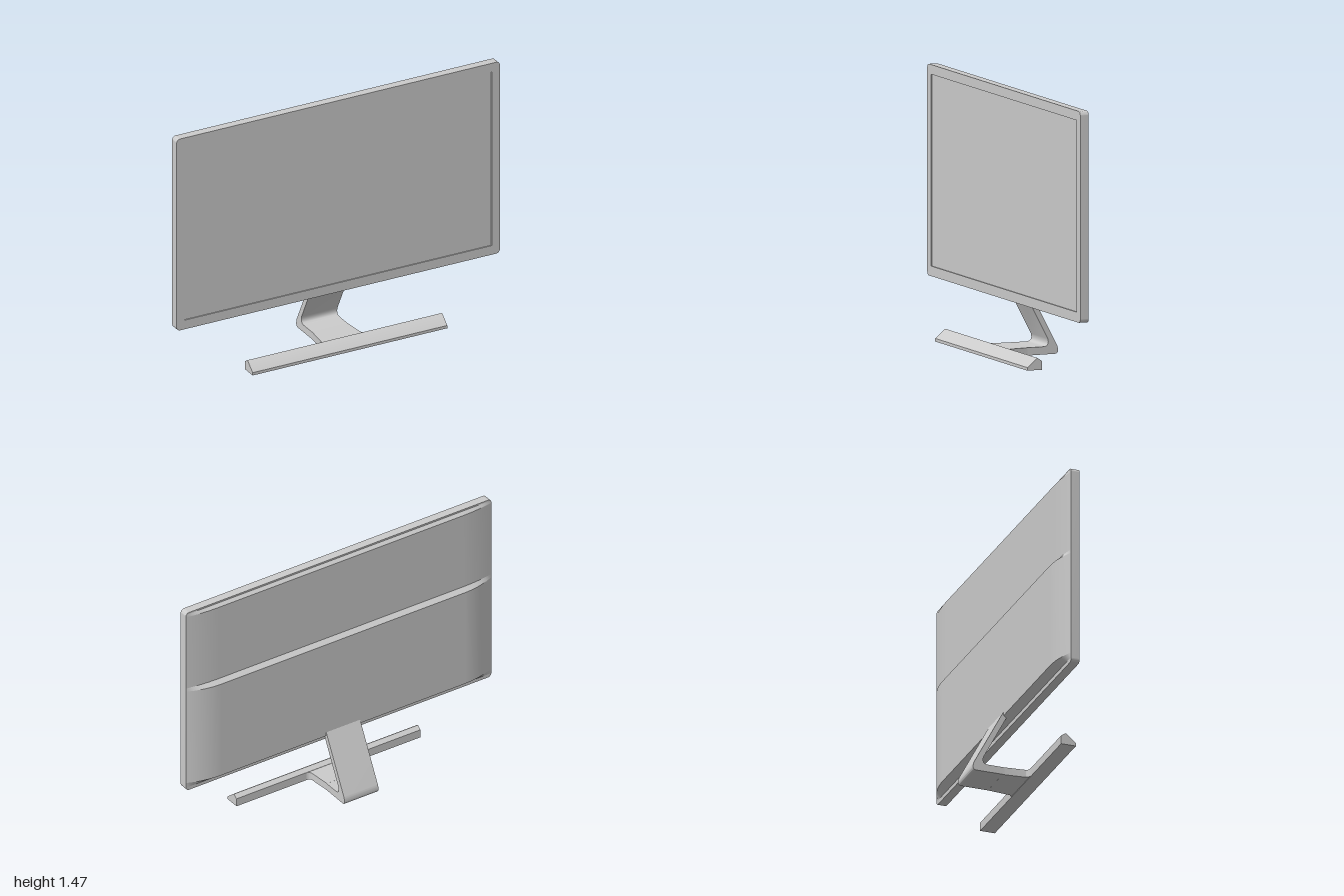
import * as THREE from 'three';
import { toCreasedNormals, mergeGeometries } from 'three/addons/utils/BufferGeometryUtils.js';

const material = new THREE.MeshStandardMaterial({ color: 0xcccccc });

function addPart(group, name, geometry) {
  const mesh = new THREE.Mesh(geometry, material);
  mesh.name = name;
  group.add(mesh);
  return mesh;
}

function roundedRect(x0, x1, y0, y1, r) {
  const s = new THREE.Shape();
  s.absarc(x1 - r, y0 + r, r, -Math.PI / 2, 0);
  s.absarc(x1 - r, y1 - r, r, 0, Math.PI / 2);
  s.absarc(x0 + r, y1 - r, r, Math.PI / 2, Math.PI);
  s.absarc(x0 + r, y0 + r, r, Math.PI, Math.PI * 1.5);
  s.closePath();
  return s;
}

function extrude(shape, depth) {
  return new THREE.ExtrudeGeometry(shape, { depth, bevelEnabled: false, curveSegments: 8 });
}

// Extrudes a (z, y) side profile symmetrically across x
function extrudeAcross(shape, width) {
  const g = extrude(shape, width).translate(0, 0, -width / 2).rotateY(-Math.PI / 2);
  return toCreasedNormals(g, 0.6);
}

// One band of the back shell between two [y, depth] profile points; ends taper in depth
function shellBand([yA, dA], [yB, dB], steps = 10) {
  const xs = [];
  for (let i = 0; i <= steps; i++) xs.push(-1 + 0.2 * i / steps);
  for (let i = steps; i >= 0; i--) xs.push(1 - 0.2 * i / steps);
  const positions = [], index = [];
  xs.forEach((x, i) => {
    const t = Math.max(0, (Math.abs(x) - 0.8) / 0.2);
    const s = 1 - t * t;
    positions.push(x * 0.997, yA, 0.018 - s * dA, x * 0.997, yB, 0.018 - s * dB);
    if (i) {
      const a = 2 * (i - 1);
      index.push(a, a + 2, a + 1, a + 1, a + 2, a + 3);
    }
  });
  const g = new THREE.BufferGeometry();
  g.setAttribute('position', new THREE.Float32BufferAttribute(positions, 3));
  g.setIndex(index);
  g.computeVertexNormals();
  return g;
}

export function createModel() {
  const model = new THREE.Group();
  model.name = 'monitor';

  // Bezel frame around a slightly recessed screen
  const frame = roundedRect(-1, 1, 0.305, 1.466, 0.022);
  frame.holes.push(new THREE.Path([
    [-0.95, 0.36], [-0.95, 1.413], [0.95, 1.413], [0.95, 0.36],
  ].map(([x, y]) => new THREE.Vector2(x, y))));
  addPart(model, 'bezel', toCreasedNormals(extrude(frame, 0.05).translate(0, 0, 0.02), 0.6));
  addPart(model, 'screen', new THREE.BoxGeometry(1.9, 1.053, 0.044)).position.set(0, 0.8865, 0.042);

  // Back cover: shallow upper section, deeper lower section
  const profile = [[1.458, 0], [1.442, 0.018], [0.976, 0.018], [0.955, 0.045], [0.357, 0.043], [0.327, 0]];
  const bands = profile.slice(1).map((p, i) => shellBand(profile[i], p));
  addPart(model, 'backCover', mergeGeometries(bands));

  // Bent stand: flat foot, rounded heel and a leaning neck
  const stand = new THREE.Shape();
  stand.moveTo(0.125, 0.004);
  stand.lineTo(-0.185, 0.004);
  stand.quadraticCurveTo(-0.203, 0.004, -0.203, 0.022);
  stand.quadraticCurveTo(-0.203, 0.042, -0.195, 0.056);
  stand.lineTo(-0.024, 0.382);
  stand.lineTo(0.005, 0.375);
  stand.lineTo(-0.006, 0.35);
  stand.lineTo(-0.142, 0.09);
  stand.quadraticCurveTo(-0.155, 0.048, -0.115, 0.047);
  stand.lineTo(0.125, 0.047);
  stand.closePath();
  addPart(model, 'stand', extrudeAcross(stand, 0.222));

  // Flared joint where the foot meets the front bar
  const flare = new THREE.Shape();
  flare.moveTo(-0.11, -0.03);
  flare.lineTo(0.11, -0.03);
  flare.lineTo(0.122, 0.095);
  flare.quadraticCurveTo(0.124, 0.113, 0.145, 0.118);
  flare.lineTo(0.145, 0.125);
  flare.lineTo(-0.145, 0.125);
  flare.lineTo(-0.145, 0.118);
  flare.quadraticCurveTo(-0.124, 0.113, -0.122, 0.095);
  flare.closePath();
  const flareGeometry = extrude(flare, 0.044).rotateX(Math.PI / 2).translate(0, 0.0475, 0);
  addPart(model, 'standJoint', toCreasedNormals(flareGeometry, 0.6));

  // Wedge-shaped front bar of the base
  const bar = new THREE.Shape([
    [0.118, 0], [0.118, 0.049], [0.143, 0.066], [0.149, 0.064], [0.204, 0.017], [0.204, 0],
  ].map(([z, y]) => new THREE.Vector2(z, y)));
  addPart(model, 'baseBar', extrudeAcross(bar, 1.204));

  return model;
}
